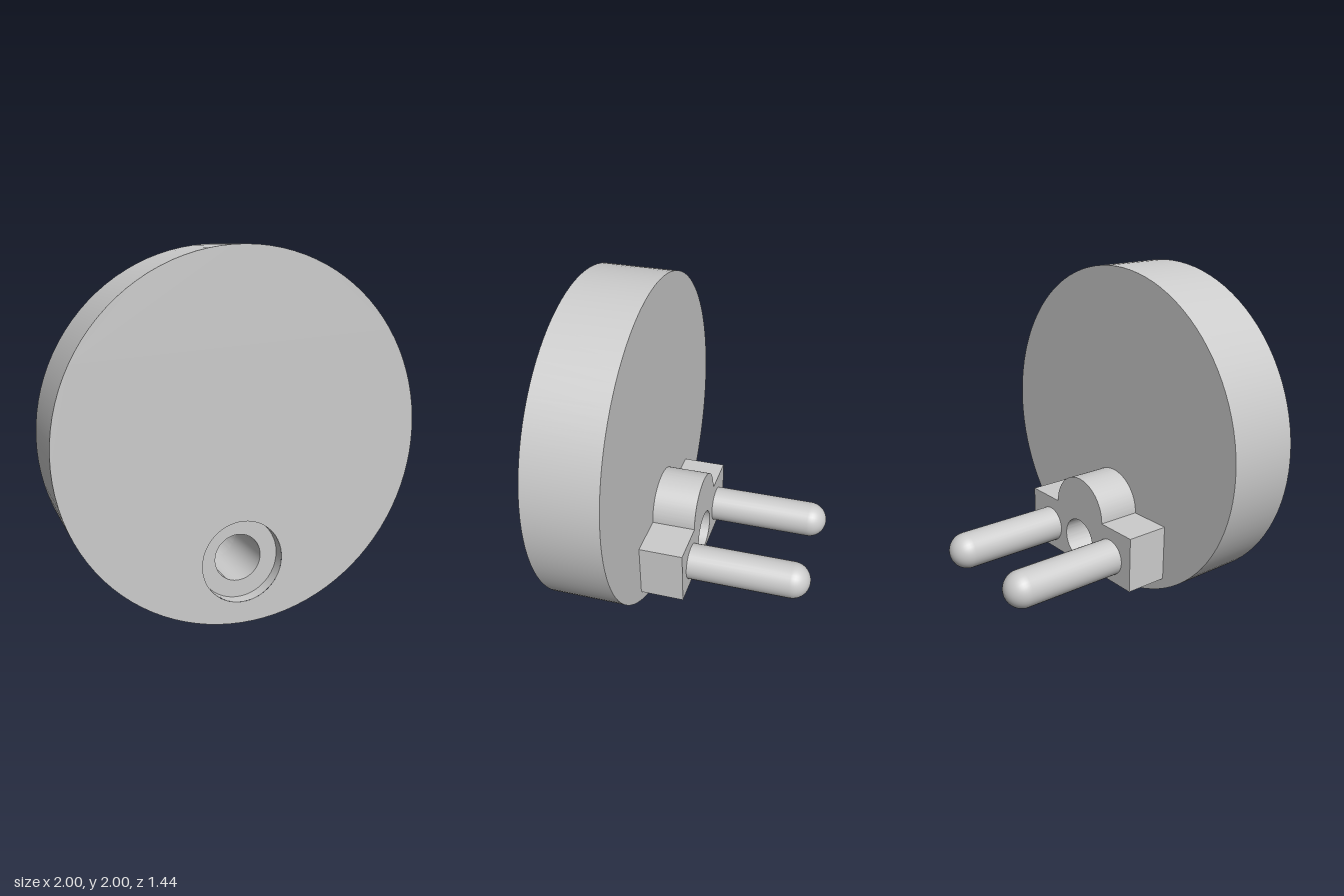
import * as THREE from 'three';
import { toCreasedNormals } from 'three/addons/utils/BufferGeometryUtils.js';

const HOLE_Y = 0.345, BORE_R = 0.13, SINK_R = 0.225;
const FRONT = 0.72, LEDGE = 0.65, BACK = 0.28, BLOCK_BACK = 0.015;

export function createModel() {
  const model = new THREE.Group();
  const material = new THREE.MeshStandardMaterial({ color: 0xcccccc });
  const add = (name, geometry, parent = model) => {
    const mesh = new THREE.Mesh(geometry, material);
    mesh.name = name;
    parent.add(mesh);
    return mesh;
  };
  const hole = (r) => new THREE.Path().absarc(0, HOLE_Y, r, 0, Math.PI * 2, true);

  // Disc: rim plus two faces, each pierced by its own hole size
  const disc = new THREE.Group();
  disc.name = 'disc';
  model.add(disc);
  const face = (r) => {
    const shape = new THREE.Shape().absarc(0, 1, 1, 0, Math.PI * 2, false);
    shape.holes.push(hole(r));
    return new THREE.ShapeGeometry(shape, 48);
  };
  const rim = new THREE.CylinderGeometry(1, 1, FRONT - BACK, 96, 1, true).rotateX(Math.PI / 2);
  add('discRim', rim, disc).position.set(0, 1, (FRONT + BACK) / 2);
  add('discFront', face(SINK_R), disc).position.z = FRONT;
  add('discBack', face(BORE_R).scale(-1, 1, 1).rotateY(0), disc).position.z = BACK;
  // Mirroring flips the winding, so the back face looks towards -z
  disc.children[2].geometry.computeVertexNormals();

  // Stepped hole: wide recess, ledge, then narrow bore
  const step = [[SINK_R, FRONT], [SINK_R, LEDGE], [BORE_R, LEDGE], [BORE_R, BACK]]
    .map(([r, z]) => new THREE.Vector2(r, z));
  const stepped = toCreasedNormals(new THREE.LatheGeometry(step, 48), 0.6).rotateX(Math.PI / 2);
  add('steppedHole', stepped, disc).position.y = HOLE_Y;

  // Mounting block with a round hump over the bore
  const outline = new THREE.Shape();
  outline.moveTo(-0.48, 0.19).lineTo(0.48, 0.19).lineTo(0.48, 0.53).lineTo(0.22, 0.53);
  outline.absarc(0, 0.53, 0.22, 0, Math.PI, false);
  outline.lineTo(-0.48, 0.53).closePath();
  outline.holes.push(hole(BORE_R));
  const block = new THREE.ExtrudeGeometry(outline, {
    depth: BACK - BLOCK_BACK, bevelEnabled: false, curveSegments: 48,
  });
  add('mountingBlock', toCreasedNormals(block, 0.6)).position.z = BLOCK_BACK;

  // Two round-ended pins pointing backwards
  const R = 0.11, straight = 0.625;
  const profile = [new THREE.Vector2(R, 0)];
  for (let i = 0; i <= 12; i++) {
    const a = (i / 12) * Math.PI / 2;
    profile.push(new THREE.Vector2(i === 12 ? 0 : R * Math.cos(a), straight + R * Math.sin(a)));
  }
  const pin = new THREE.LatheGeometry(profile, 32).rotateX(-Math.PI / 2);
  for (const [name, side] of [['leftPin', 1], ['rightPin', -1]]) {
    add(name, pin).position.set(side * 0.295, HOLE_Y, BLOCK_BACK);
  }
  return model;
}
